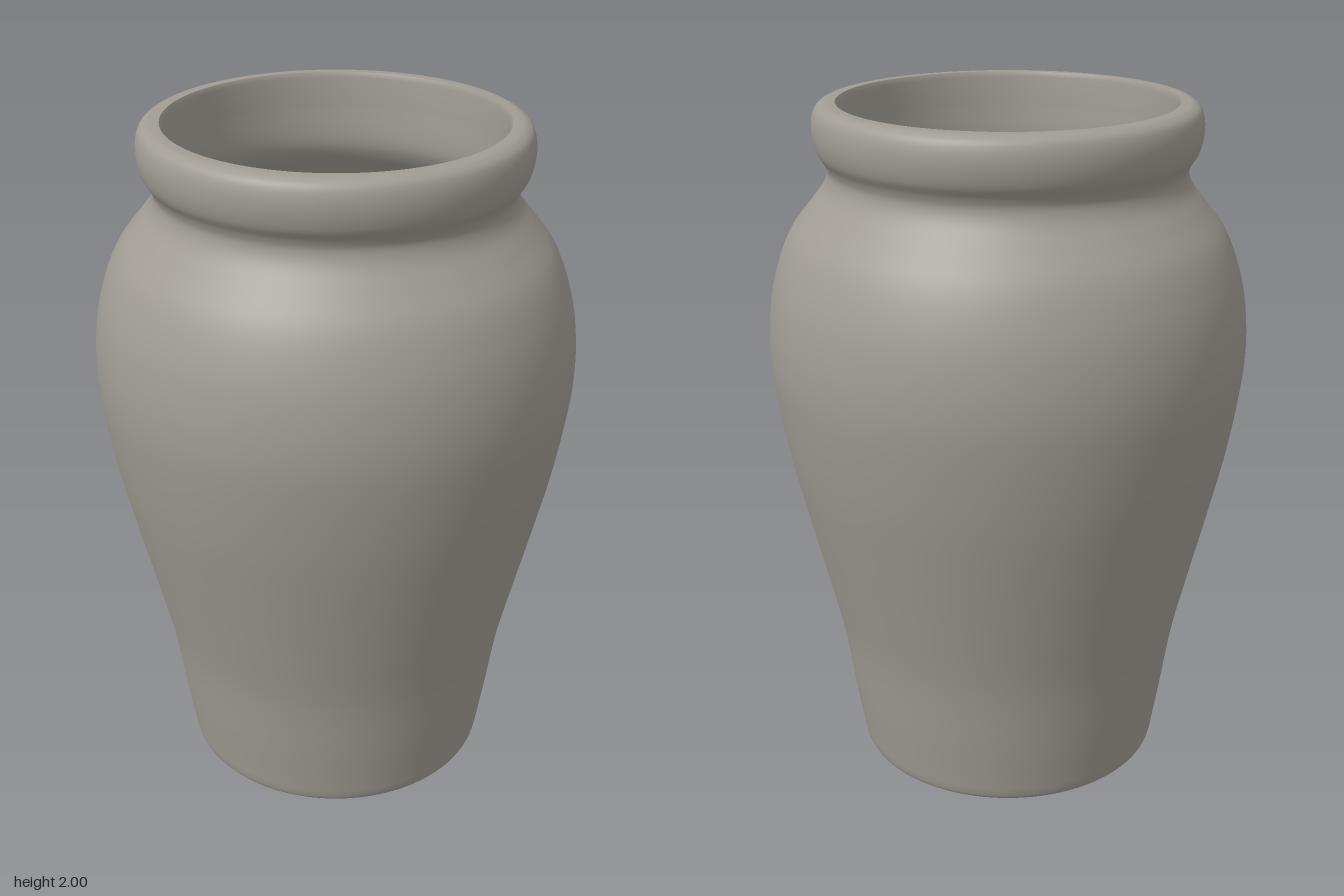
import * as THREE from 'three';

const SEGMENTS = 96;

// Smooth curve through profile points, given as [radius, height]
function smooth(points, count) {
  const curve = new THREE.SplineCurve(points.map(([r, y]) => new THREE.Vector2(r, y)));
  return curve.getPoints(count);
}

const straight = (points) => points.map(([r, y]) => new THREE.Vector2(r, y));

export function createModel() {
  const group = new THREE.Group();
  group.name = 'urnPlanter';
  const clay = new THREE.MeshStandardMaterial({ color: 0xa09c94 });
  clay.name = 'greyClay';

  function turn(name, profile) {
    const mesh = new THREE.Mesh(new THREE.LatheGeometry(profile, SEGMENTS), clay);
    mesh.name = name;
    group.add(mesh);
  }

  // Underside around the drain hole
  turn('underside', straight([[0.035, 0], [0.435, 0]]));

  // Rounded foot, swelling body, pinched neck and rolled rim
  turn('outerWall', smooth([
    [0.435, 0], [0.452, 0.006], [0.461, 0.03], [0.469, 0.08], [0.488, 0.2],
    [0.518, 0.4], [0.563, 0.6], [0.61, 0.8], [0.654, 1.0], [0.685, 1.2],
    [0.692, 1.33], [0.681, 1.45], [0.656, 1.55], [0.617, 1.64], [0.56, 1.715],
    [0.522, 1.765], [0.508, 1.805], [0.515, 1.835], [0.535, 1.868],
    [0.545, 1.91], [0.545, 1.95], [0.535, 1.982], [0.515, 1.997], [0.495, 2],
  ], 140));

  // Flat top of the rim and its inner lip
  turn('rimTop', straight([[0.495, 2], [0.478, 2]]));
  turn('rimLip', straight([[0.478, 2], [0.471, 1.985], [0.468, 1.9]]));

  // Hollow inside following the body
  turn('innerWall', smooth([
    [0.468, 1.9], [0.465, 1.8], [0.485, 1.74], [0.545, 1.66], [0.6, 1.55],
    [0.63, 1.4], [0.63, 1.28], [0.602, 1.04], [0.555, 0.8], [0.505, 0.58],
    [0.458, 0.36], [0.425, 0.16], [0.39, 0.08],
  ], 70));

  // Floor and drain hole
  turn('floor', straight([[0.39, 0.08], [0.035, 0.08]]));
  turn('drainHole', straight([[0.035, 0.08], [0.035, 0]]));

  return group;
}
